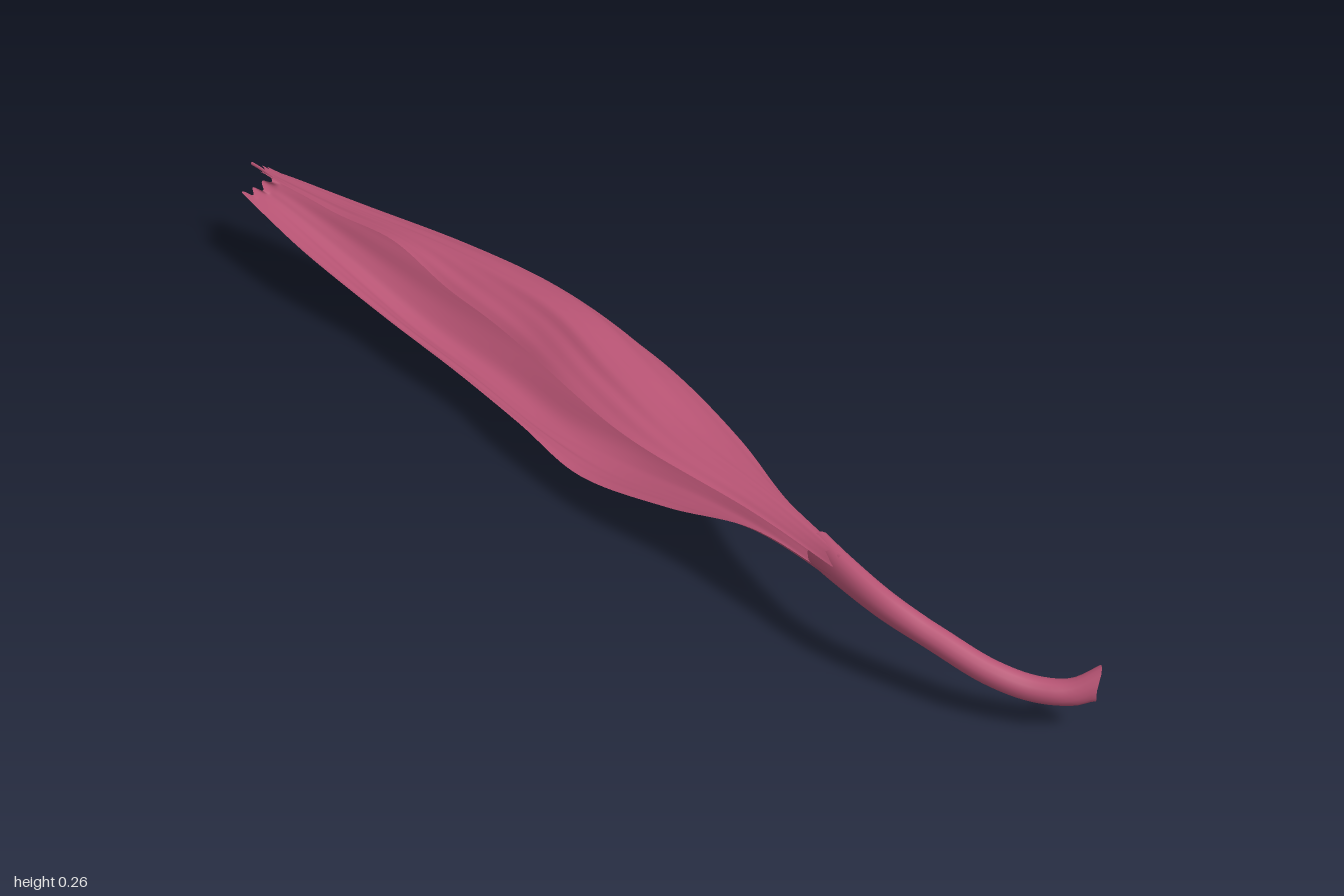
import * as THREE from 'three';

const V = (x, y, z) => new THREE.Vector3(x, y, z);

// Cross-sections of the curled blade from stalk to tip:
// z, then x,y of upper margin, crown, back, keel, lower margin
const SECTIONS = [
  [0.6, 0.024, 0.178, 0.042, 0.195, 0.064, 0.165, 0.042, 0.135, 0.021, 0.162],
  [0.4, -0.02, 0.187, 0.03, 0.195, 0.07, 0.155, 0.035, 0.107, -0.006, 0.137],
  [0.2, -0.088, 0.2, 0, 0.205, 0.1, 0.145, 0.03, 0.058, -0.052, 0.07],
  [0, -0.118, 0.206, -0.02, 0.235, 0.095, 0.158, 0, 0.013, -0.11, 0.032],
  [-0.18, -0.13, 0.213, -0.03, 0.254, 0.073, 0.158, -0.05, -0.001, -0.133, 0.042],
  [-0.36, -0.163, 0.226, -0.065, 0.247, 0.034, 0.165, -0.08, 0.01, -0.165, 0.056],
  [-0.55, -0.188, 0.239, -0.118, 0.23, -0.035, 0.17, -0.13, 0.036, -0.213, 0.08],
  [-0.75, -0.222, 0.209, -0.182, 0.208, -0.128, 0.175, -0.188, 0.093, -0.268, 0.12],
  [-0.9, -0.25, 0.195, -0.23, 0.197, -0.195, 0.175, -0.235, 0.136, -0.29, 0.14],
  [-0.97, -0.262, 0.19, -0.25, 0.192, -0.235, 0.178, -0.26, 0.153, -0.297, 0.147],
];

// Lofts an open skin through the sections, with lengthwise creases
function bladeGeometry(rows, cols) {
  const rails = [0, 1, 2, 3, 4].map((k) => new THREE.CatmullRomCurve3(
    SECTIONS.map((s) => V(s[1 + 2 * k], s[2 + 2 * k], s[0])), false, 'catmullrom', 0.5));
  const pos = [], index = [];
  for (let i = 0; i <= rows; i++) {
    const t = i / rows;
    const section = new THREE.CatmullRomCurve3(rails.map((r) => r.getPoint(t)), false, 'centripetal');
    const swell = Math.sin(Math.PI * t);
    for (let j = 0; j <= cols; j++) {
      const u = j / cols;
      const p = section.getPoint(u);
      // creases push the skin in and out across the section
      const tan = section.getTangent(u);
      const ripple = 0.0014 * swell * (Math.sin(u * 47 + 5 * t) + 0.7 * Math.sin(u * 83 - 9 * t));
      p.x += tan.y * ripple;
      p.y -= tan.x * ripple;
      // wavy upper margin
      if (u < 0.12) p.y += 0.002 * swell * (1 - u / 0.12) * Math.sin(t * 40);
      // torn tip in a few broad teeth
      const tear = Math.max(0, (i - rows + 4) / 4);
      p.z += tear * 0.012 * Math.sin(j * 0.6);
      pos.push(p.x, Math.max(p.y, 0), p.z);
      if (i < rows && j < cols) {
        const a = i * (cols + 1) + j, b = a + cols + 1;
        index.push(a, a + 1, b, b, a + 1, b + 1);
      }
    }
  }
  const g = new THREE.BufferGeometry();
  g.setAttribute('position', new THREE.Float32BufferAttribute(pos, 3));
  g.setIndex(index);
  g.computeVertexNormals();
  return g;
}

// Hooked stalk: tall where it leaves the blade, flared at its broken end
function stalkGeometry() {
  const path = new THREE.CatmullRomCurve3([
    V(0.043, 0.162, 0.53), V(0.044, 0.164, 0.6), V(0.065, 0.149, 0.7), V(0.108, 0.122, 0.79),
    V(0.155, 0.094, 0.87), V(0.205, 0.078, 0.925), V(0.25, 0.082, 0.965), V(0.282, 0.1, 0.985),
  ]);
  const segs = 48, radial = 14;
  const g = new THREE.TubeGeometry(path, segs, 0.022, radial, false);
  const p = g.attributes.position, v = V(0, 0, 0);
  for (let i = 0; i <= segs; i++) {
    const t = i / segs, c = path.getPointAt(t);
    const flare = Math.max(0, (t - 0.88) / 0.12);
    const tall = 1 + 0.55 * Math.max(0, 1 - t / 0.45) + 0.6 * flare * flare;
    for (let j = 0; j <= radial; j++) {
      const k = i * (radial + 1) + j;
      v.fromBufferAttribute(p, k).sub(c);
      v.set(v.x * (1 - 0.6 * flare), v.y * tall, v.z * (1 - 0.3 * flare));
      // slanted, hollowed rim
      v.x += flare * (0.3 * v.y + 0.25 * Math.abs(v.y) - 0.006);
      v.add(c);
      p.setXYZ(k, v.x, v.y, v.z);
    }
  }
  g.computeVertexNormals();
  return g;
}

export function createModel() {
  const group = new THREE.Group();
  group.name = 'driedLeaf';
  const leafRed = new THREE.MeshStandardMaterial({ color: 0xb85474, side: THREE.DoubleSide });
  leafRed.name = 'leaf rose red';

  const add = (name, geometry) => {
    const mesh = new THREE.Mesh(geometry, leafRed);
    mesh.name = name;
    group.add(mesh);
  };
  add('curledBlade', bladeGeometry(90, 72));
  add('stalk', stalkGeometry());

  // Stray fibre at the torn tip
  add('tipFibre', new THREE.TubeGeometry(new THREE.CatmullRomCurve3([
    V(-0.25, 0.191, -0.93), V(-0.258, 0.193, -0.97), V(-0.265, 0.194, -0.995)]), 8, 0.003, 6));
  return group;
}
